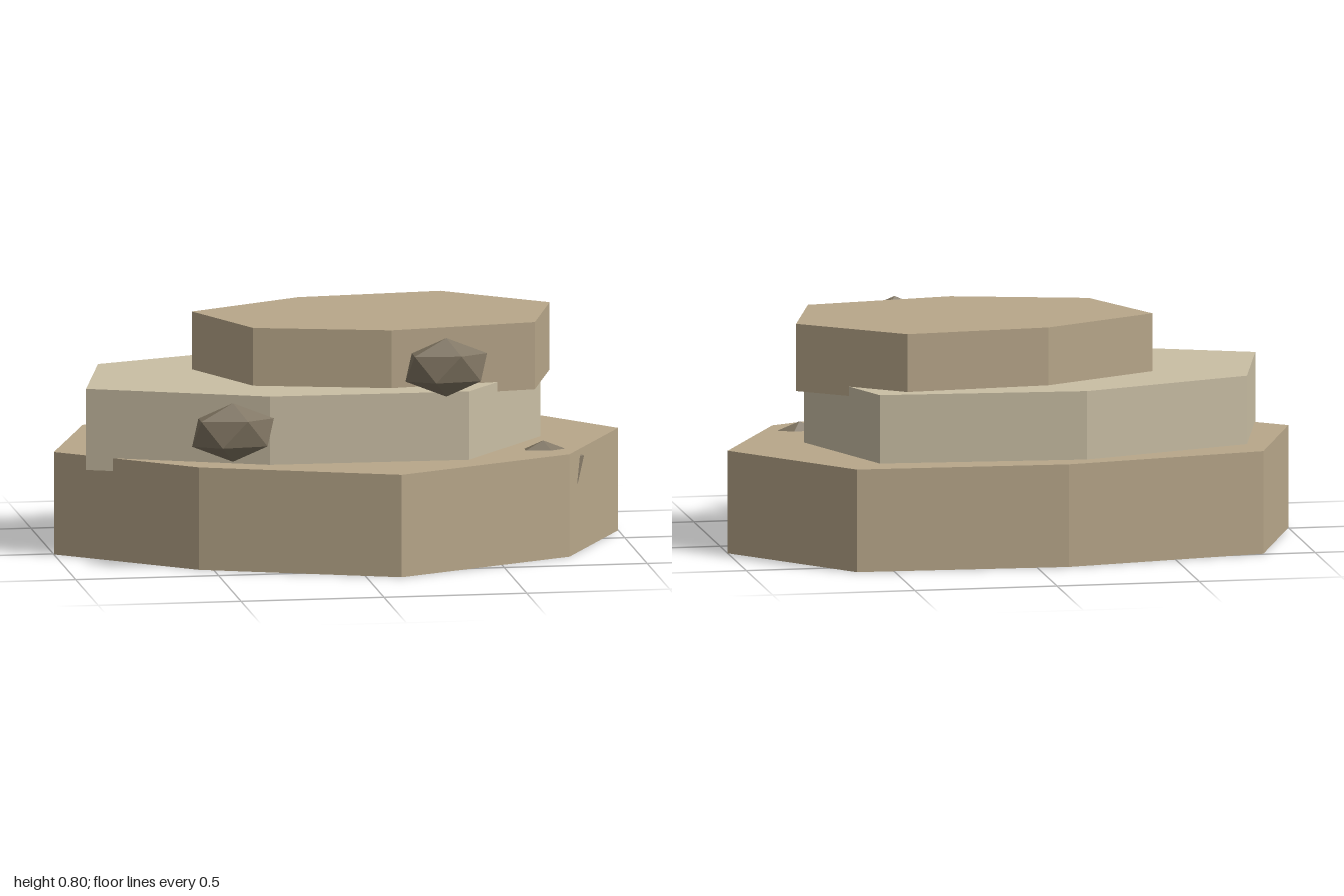
import * as THREE from 'three';

const stone = (color) => new THREE.MeshStandardMaterial({ color, flatShading: true });

// Flat slab of rock: an irregular [x, z] outline raised from y0 to y1
function slab(name, outline, y0, y1, material) {
  const shape = new THREE.Shape(outline.map(([x, z]) => new THREE.Vector2(x, -z)));
  const geometry = new THREE.ExtrudeGeometry(shape, { depth: y1 - y0, bevelEnabled: false });
  geometry.rotateX(-Math.PI / 2).translate(0, y0, 0);
  const mesh = new THREE.Mesh(geometry, material);
  mesh.name = name;
  return mesh;
}

export function createModel() {
  const group = new THREE.Group();
  group.name = 'rockLedge';
  const tan = stone(0xb8a78a);
  const pale = stone(0xc9bea4);
  const dark = stone(0x7d725f);

  // Three stacked, offset slabs
  group.add(
    slab('lowerSlab', [
      [-1, 0.01], [-0.55, 0.38], [0.12, 0.63], [0.755, 0.33],
      [1, -0.145], [0.63, -0.6], [-0.11, -0.63], [-0.82, -0.49],
    ], 0, 0.36, tan),
    slab('middleSlab', [
      [-0.905, 0.125], [-0.3, 0.37], [0.395, 0.38], [0.71, -0.03],
      [0.53, -0.495], [-0.19, -0.545], [-0.79, -0.34],
    ], 0.315, 0.6, pale),
    slab('upperSlab', [
      [-0.485, -0.19], [-0.325, 0.155], [0.14, 0.275], [0.655, 0.195],
      [0.765, -0.175], [0.425, -0.45], [-0.08, -0.405],
    ], 0.567, 0.803, tan),
  );

  // Flattened boulders with one corner pointing straight up
  const boulder = new THREE.IcosahedronGeometry(1, 0);
  boulder.rotateZ(-Math.atan(2 / (1 + Math.sqrt(5)))).scale(0.16, 0.103, 0.065);
  const spots = [[-0.445, 0.496, 0.47], [0.315, 0.688, 0.385], [0.68, 0.288, 0.22]];
  spots.forEach(([x, y, z], i) => {
    const mesh = new THREE.Mesh(boulder, dark);
    mesh.name = `boulder${i + 1}`;
    mesh.position.set(x, y, z);
    group.add(mesh);
  });

  return group;
}
